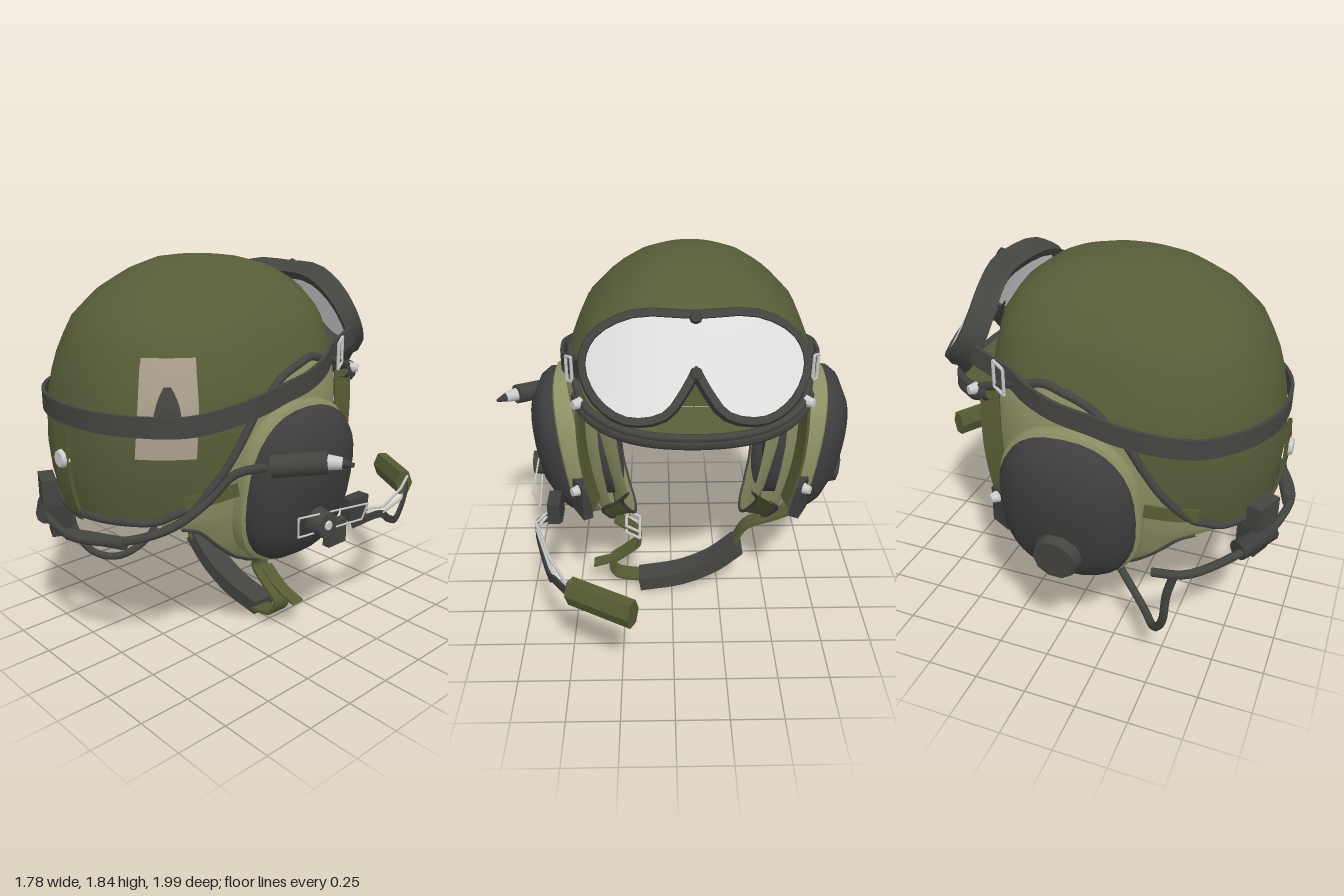
import * as THREE from 'three';
import { toCreasedNormals } from 'three/addons/utils/BufferGeometryUtils.js';
const CX = -0.09; // helmet's own centre line
const V = (x, y, z) => new THREE.Vector3(x, y, z);
const D = Math.PI / 180;
const spow = (n, e) => Math.sign(n) * Math.abs(n) ** e;

// linear lookup in rows of [key, value...], keys ascending
function lookup(rows, k, col = 1) {
  const i = rows.findIndex((r) => k <= r[0]);
  if (i <= 0) return rows[i < 0 ? rows.length - 1 : 0][col];
  const [a, b] = [rows[i - 1], rows[i]];
  return a[col] + (b[col] - a[col]) * (k - a[0]) / (b[0] - a[0]);
}
// grid surface from fn(u, v)
function surface(nu, nv, fn) {
  const pos = [], idx = [];
  for (let j = 0; j <= nv; j++)
    for (let i = 0; i <= nu; i++) {
      pos.push(...fn(i / nu, j / nv).toArray());
      const a = j * (nu + 1) + i, b = a + nu + 1;
      if (i < nu && j < nv) idx.push(a, b, a + 1, a + 1, b, b + 1);
    }
  const g = new THREE.BufferGeometry();
  g.setAttribute('position', new THREE.Float32BufferAttribute(pos, 3));
  g.setIndex(idx);
  return toCreasedNormals(g, 0.75);
}
// helmet profile: height, side, back and face-side radius
const PROFILE = [
  [0.4, 0.4, 0.5, 0.52], [0.6, 0.52, 0.6, 0.56], [0.75, 0.57, 0.68, 0.58], [0.9, 0.6, 0.71, 0.6],
  [1.05, 0.62, 0.72, 0.61], [1.28, 0.62, 0.69, 0.61], [1.45, 0.56, 0.64, 0.59], [1.58, 0.5, 0.57, 0.565],
  [1.7, 0.385, 0.44, 0.49], [1.78, 0.27, 0.29, 0.37], [1.825, 0.16, 0.16, 0.2], [1.84, 0, 0, 0]];
// rim height and ear flap bottom by angle from the back
const RIM = [[0, 0.75], [40, 0.77], [56, 0.85], [65, 0.97], [74, 1.15], [79, 1.26], [90, 1.36],
  [99, 1.42], [113, 1.4], [135, 1.33], [180, 1.3]];
const FLAP = [[42, 0.74], [56, 0.71], [65, 0.61], [74, 0.52], [90, 0.43], [99, 0.4], [109, 0.46], [125, 0.6], [142, 0.7]];
// point on the helmet at angle a (degrees), height y, pushed out by off
function hull(a, y, off = 0) {
  const s = Math.sin(a * D), c = Math.cos(a * D), e = c < 0 ? 0.68 : 0.93;
  const side = Math.max(0, lookup(PROFILE, y, 1) + off), len = Math.max(0, lookup(PROFILE, y, c < 0 ? 3 : 2) + off);
  return V(CX + side * spow(s, e), y, 0.2 + len * spow(c, e));
}
const wrap = (a) => Math.abs(((a + 180) % 360 + 360) % 360 - 180);
const rimY = (a) => lookup(RIM, wrap(a));
// outer edge of shell, including the brim over the face
function edge(a, t = 1) {
  const p = hull(a, rimY(a), 0.004), w = Math.max(0, Math.sin(Math.PI * (wrap(a) - 106) / 148));
  if (wrap(a) > 106) p.add(V(0, -0.05 * w ** 0.6 * t, -0.19 * w * t));
  return p;
}
// flat band swept along points; width lies along "across"
function band(pts, width, thick, across) {
  const c = new THREE.CatmullRomCurve3(pts), sec = [[1, 1], [-1, 1], [-1, -1], [1, -1], [1, 1]];
  return surface(pts.length * 4, 4, (u, v) => {
    const t = c.getTangent(u), w = across.clone().addScaledVector(t, -across.dot(t)).normalize();
    const [a, b] = sec[Math.round(v * 4)];
    return c.getPoint(u).addScaledVector(w, a * width / 2).addScaledVector(t.cross(w), b * thick / 2);
  });
}
const list = (n, fn) => Array.from({ length: n }, (_, i) => fn(i));
const tube = (pts, r, closed = false) =>
  new THREE.TubeGeometry(new THREE.CatmullRomCurve3(pts, closed), pts.length * 4, r, 7, closed);
function rod(p, q, r0, r1 = r0, sides = 10) {
  const d = q.clone().sub(p), g = new THREE.CylinderGeometry(r1, r0, d.length(), sides);
  g.applyQuaternion(new THREE.Quaternion().setFromUnitVectors(V(0, 1, 0), d.normalize()));
  return g.translate(...p.clone().add(q).multiplyScalar(0.5).toArray());
}

export function createModel() {
  const model = new THREE.Group(), mat = {};
  for (const [name, color] of Object.entries({
    shellGreen: 0x575c38, linerOlive: 0x8d9064, webbingGreen: 0x565b34, rubberGrey: 0x444441,
    cupGrey: 0x3d3e3d, lensGrey: 0xe2e2e2, patchTan: 0xa89e8b, metal: 0xcccccc })) {
    mat[name] = new THREE.MeshStandardMaterial({ color, side: THREE.DoubleSide });
    mat[name].name = name;
  }
  const add = (name, geo, m) => {
    const mesh = new THREE.Mesh(geo, mat[m]);
    mesh.name = name;
    model.add(mesh);
  };
  const wire = (name, pts, r) => pts.slice(1).forEach((p, i) => add(name, rod(pts[i], p, r, r, 5), 'metal'));
  const box = (name, w, h, d, x, y, z, m, ry = 0) =>
    add(name, new THREE.BoxGeometry(w, h, d).rotateY(ry).translate(x, y, z), m);

  // shell, lining, pads, brim and edge trim
  const dome = (top, off) => (u, v) => hull(u * 360, top - (top - rimY(u * 360)) * v * v, off);
  add('shell', surface(48, 16, dome(1.84, 0)), 'shellGreen');
  add('innerLining', surface(40, 12, dome(1.8, -0.04)), 'linerOlive');
  add('napePad', surface(20, 6, (u, v) => hull(-70 + 140 * u, 0.84 + 0.86 * v, -0.1)), 'cupGrey');
  add('browPad', surface(20, 4, (u, v) => hull(104 + 152 * u, 1.26 + 0.4 * v, -0.13)), 'cupGrey');
  add('brim', surface(24, 3, (u, v) => edge(106 + 148 * u, v)), 'shellGreen');
  add('edgeTrim', tube(list(60, (i) => edge(i * 6)), 0.019, true), 'rubberGrey');
  add('brimRoll', tube(list(21, (i) => edge(125 + i * 5.5, 0.9).add(V(0, -0.035, 0))), 0.034), 'rubberGrey');

  // goggle strap round the shell
  const strap = list(33, (i) => i * 7.375 - 118).map((a) =>
    hull(a, 1.21 + 0.19 * Math.max(0, (Math.abs(a) - 52) / 66) ** 1.3, 0.018));
  const strapEnds = [-1, 1].map((s) => V(CX + s * 0.5, 1.46, -0.37));
  add('goggleStrap', band([strapEnds[0], ...strap, strapEnds[1]], 0.09, 0.016, V(0, 1, 0)), 'rubberGrey');

  // goggles: bent around the brow and tilted back
  const gog = (u, v, w) => {
    const n = w - 0.55 * u * u;
    return V(CX + u, 1.575 + v * 0.874 + n * 0.485, -0.535 + v * 0.485 - n * 0.874);
  };
  const half = [[0.06, -0.11], [0.14, -0.21], [0.29, -0.225], [0.41, -0.14], [0.465, 0], [0.42, 0.11], [0.26, 0.185]];
  const outline = new THREE.CatmullRomCurve3([[0, -0.02], ...half, [0, 0.175],
    ...half.map(([x, y]) => [-x, y]).reverse()].map(([x, y]) => V(x, y, 0)), true);
  add('goggleLens', surface(48, 6, (u, v) => {
    const p = outline.getPoint(u % 1).lerp(V(0, 0.07, 0), v);
    return gog(p.x, p.y, 0.01);
  }), 'lensGrey');
  const section = [[-0.004, 0], [0, 0.022], [0.03, 0.022], [0.04, -0.02], [0.03, -0.045], [0.04, -0.09], [0, -0.09]];
  add('goggleFrame', surface(48, 6, (u, v) => {
    const p = outline.getPoint(u % 1), t = outline.getTangent(u % 1), [o, w] = section[Math.round(v * 6)];
    return gog(p.x + t.y * o, p.y - t.x * o, w);
  }), 'rubberGrey');
  for (const v of [0.18, -0.05]) add('goggleBolt', rod(gog(0, v, 0), gog(0, v, 0.04), 0.03, 0.024, 8), 'cupGrey');

  // parts found on both sides
  for (const s of [1, -1]) {
    const at = (o, y, z) => V(CX + s * o, y, z);
    const flap = (a0, off) => (u, v) => {
      const a = a0 + (142 - a0) * u, top = rimY(a) + 0.05;
      return hull(s * a, top + (lookup(FLAP, a) - top) * v, off);
    };
    add('earFlap', surface(26, 10, flap(42, -0.012)), 'linerOlive');
    add('flapLining', surface(26, 8, flap(50, -0.12)), 'linerOlive');
    add('flapHem', surface(26, 1, (u, v) => flap(50, -0.012 - 0.108 * v)(u, 1)), 'webbingGreen');
    for (const off of [-0.012, -0.12])
      add('flapTrim', tube(list(15, (i) => flap(50, off)(i / 14, 1)), 0.009), 'rubberGrey');
    // ear cup: stacked ovals of [scale, distance out]
    const oval = (name, rows, m, size = 1) => add(name, surface(32, rows.length - 1, (u, v) => {
      const [k, o] = rows[Math.round(v * (rows.length - 1))];
      const dy = 0.37 * size * k * spow(Math.sin(u * 2 * Math.PI), 0.82);
      return at(o + dy * 0.15, 0.86 + dy, 0.11 + 0.31 * size * k * spow(Math.cos(u * 2 * Math.PI), 0.82));
    }), m);
    oval('cupSeal', [[1.02, 0.5], [1.06, 0.57], [1.05, 0.605], [1, 0.615]], 'linerOlive');
    oval('earCup', [[1, 0.6], [0.99, 0.65], [0.9, 0.695], [0.62, 0.755], [0, 0.76]], 'cupGrey');
    oval('earPad', [[1, 0.51], [1, 0.42], [0.85, 0.38], [0.6, 0.4], [0.55, 0.42], [0, 0.42]], 'cupGrey', 0.78);
    // front edge webbing, snap pad, studs and strap buckle
    const post = [1.3, 1.15, 1, 0.85, 0.7].map((y) => hull(s * 134, y, 0.025));
    add('flapWebbing', band(post, 0.085, 0.014, V(-s * 0.3, 0, 1)), 'webbingGreen');
    box('snapPad', 0.05, 0.18, 0.12, CX + s * 0.53, 0.72, -0.25, 'cupGrey', s * 0.5);
    for (const [y, o, z] of [[0.78, 0.54, -0.27], [1.3, 0.5, -0.36]])
      add('stud', rod(at(o, y, z), at(o + 0.035, y, z - 0.025), 0.03, 0.02, 8), 'metal');
    wire('strapBuckle', [at(0.575, 1.45, -0.19), at(0.545, 1.47, -0.25), at(0.545, 1.35, -0.25),
      at(0.575, 1.33, -0.19), at(0.575, 1.45, -0.19)], 0.008);
    add('rearWebbing', band([52, 62, 72].map((a) => hull(s * a, 0.76 + a / 500, 0.011)), 0.06, 0.012, V(0, 1, 0)), 'webbingGreen');
  }

  // patch on the shell
  const plate = (a0, a1, y0, y1, off, taper) => surface(8, 8, (u, v) =>
    hull((a0 + a1) / 2 + (u - 0.5) * (a1 - a0) * (1 - taper * (1 - v) ** 3), y1 + (y0 - y1) * (1 - (1 - v)), off));
  add('patch', plate(33, 56, 1.07, 1.48, 0.007, 0), 'patchTan');
  add('patchMark', plate(39, 50, 1.16, 1.37, 0.011, 0.75), 'rubberGrey');
  // strap keeper on the back
  add('backKeeper', band([1.13, 1, 0.85, 0.72].map((y) => hull(-1, y, 0.018)), 0.1, 0.016, V(1, 0, 0)), 'webbingGreen');
  add('backStud', rod(V(-0.1, 1.01, 0.93), V(-0.1, 1.01, 0.96), 0.05, 0.036, 8), 'metal');

  // cable along the back with its junction box
  add('backCable', tube([V(-0.72, 0.63, 0.5), V(-0.7, 0.64, 0.64), V(-0.59, 0.65, 0.76), V(-0.42, 0.67, 0.88),
    V(-0.2, 0.67, 0.95), V(0.03, 0.68, 0.965), V(0.25, 0.71, 0.86), V(0.38, 0.77, 0.72),
    V(0.45, 0.87, 0.58), V(0.5, 0.98, 0.47), V(0.6, 1.02, 0.38)], 0.02), 'rubberGrey');
  add('cableSleeve', rod(V(-0.05, 0.675, 0.965), V(0.25, 0.7, 0.87), 0.028), 'rubberGrey');
  add('cableSleeve', rod(V(-0.48, 0.66, 0.82), V(-0.3, 0.68, 0.93), 0.048), 'cupGrey');
  box('junctionBox', 0.15, 0.12, 0.07, -0.34, 0.79, 0.89, 'rubberGrey', -0.4);
  box('junctionClip', 0.11, 0.15, 0.1, -0.31, 0.64, 0.85, 'cupGrey', -0.4);
  add('loopCable', tube([V(-0.71, 0.64, 0.6), V(-0.71, 0.52, 0.57), V(-0.69, 0.35, 0.55), V(-0.62, 0.23, 0.49),
    V(-0.5, 0.22, 0.4), V(-0.41, 0.33, 0.26), V(-0.42, 0.45, 0.2)], 0.02), 'rubberGrey');
  // plug and knobs
  add('plugBody', rod(V(0.62, 1.025, 0.37), V(0.8, 1.055, 0.22), 0.05), 'rubberGrey');
  add('plugNeck', rod(V(0.8, 1.055, 0.22), V(0.85, 1.055, 0.185), 0.034, 0.026), 'metal');
  add('plugTip', rod(V(0.85, 1.055, 0.185), V(0.89, 1.05, 0.155), 0.022, 0.008), 'cupGrey');
  add('rightKnob', rod(V(0.6, 0.71, 0.11), V(0.72, 0.71, 0.11), 0.08, 0.06), 'rubberGrey');
  add('rightKnobScrew', rod(V(0.72, 0.71, 0.11), V(0.728, 0.71, 0.11), 0.024, 0.02, 8), 'metal');
  add('leftKnob', rod(V(-0.79, 0.7, 0.11), V(-0.87, 0.69, 0.11), 0.12, 0.1), 'rubberGrey');

  // boom microphone
  wire('boomClip', [V(0.69, 0.78, 0.27), V(0.69, 0.72, -0.2), V(0.66, 0.63, -0.2), V(0.69, 0.69, 0.27), V(0.69, 0.78, 0.27)], 0.005);
  box('boomBracket', 0.06, 0.11, 0.13, 0.58, 0.66, -0.24, 'cupGrey');
  box('boomFoot', 0.04, 0.12, 0.12, 0.58, 0.57, -0.1, 'rubberGrey');
  for (const dy of [0, -0.06])
    wire('boomWire', [V(0.62, 0.65 + dy / 3, -0.28), V(0.66, 0.65 + dy / 2, -0.36), V(0.57, 0.65 + dy, -0.62), V(0.47, 0.64 + 1.4 * dy, -0.81)], 0.008);
  add('boomLead', band([V(0.6, 0.58, -0.2), V(0.66, 0.62, -0.33), V(0.63, 0.55, -0.45), V(0.58, 0.5, -0.58),
    V(0.55, 0.57, -0.68), V(0.48, 0.6, -0.8)], 0.035, 0.012, V(0, 1, 0.2)), 'cupGrey');
  const mic = new THREE.CylinderGeometry(0.08, 0.08, 0.32, 6).rotateZ(Math.PI / 2).scale(1, 0.9, 0.6);
  add('microphone', toCreasedNormals(mic.rotateY(-0.52).translate(0.32, 0.6, -0.88), 0.3), 'webbingGreen');

  // chin strap
  const chin = (name, pts, w, t, m, z = 0) => add(name, band(pts.map(([x, y]) => V(x, y, z)), w, t, V(0, 0, 1)), m);
  chin('chinStrapLeftEnd', [[-0.65, 0.48], [-0.53, 0.43], [-0.4, 0.38], [-0.33, 0.26]], 0.09, 0.018, 'webbingGreen');
  chin('chinPad', [[-0.35, 0.27], [-0.22, 0.16], [-0.05, 0.08], [0.17, 0.04]], 0.13, 0.075, 'rubberGrey', -0.03);
  for (const [x, y, n] of [[-0.35, 0.27, -0.75], [0.17, 0.04, -0.15]])
    add('chinPadEnd', new THREE.BoxGeometry(0.01, 0.075, 0.13).rotateZ(n).translate(x, y, -0.03), 'rubberGrey');
  chin('chinStrapRightEnd', [[0.17, 0.04], [0.3, 0.07], [0.33, 0.14], [0.25, 0.21], [0.17, 0.29], [0.2, 0.35], [0.3, 0.43]], 0.1, 0.016, 'webbingGreen');
  chin('chinStrapTail', [[0.19, 0.27], [0.3, 0.19], [0.42, 0.15]], 0.07, 0.012, 'webbingGreen', -0.03);
  for (const y of [0.34, 0.38])
    wire('chinBuckle', [V(0.17, y, 0.07), V(0.24, y + 0.04, 0.07), V(0.24, y + 0.04, -0.07), V(0.17, y, -0.07), V(0.17, y, 0.07)], 0.008);
  return model;
}
